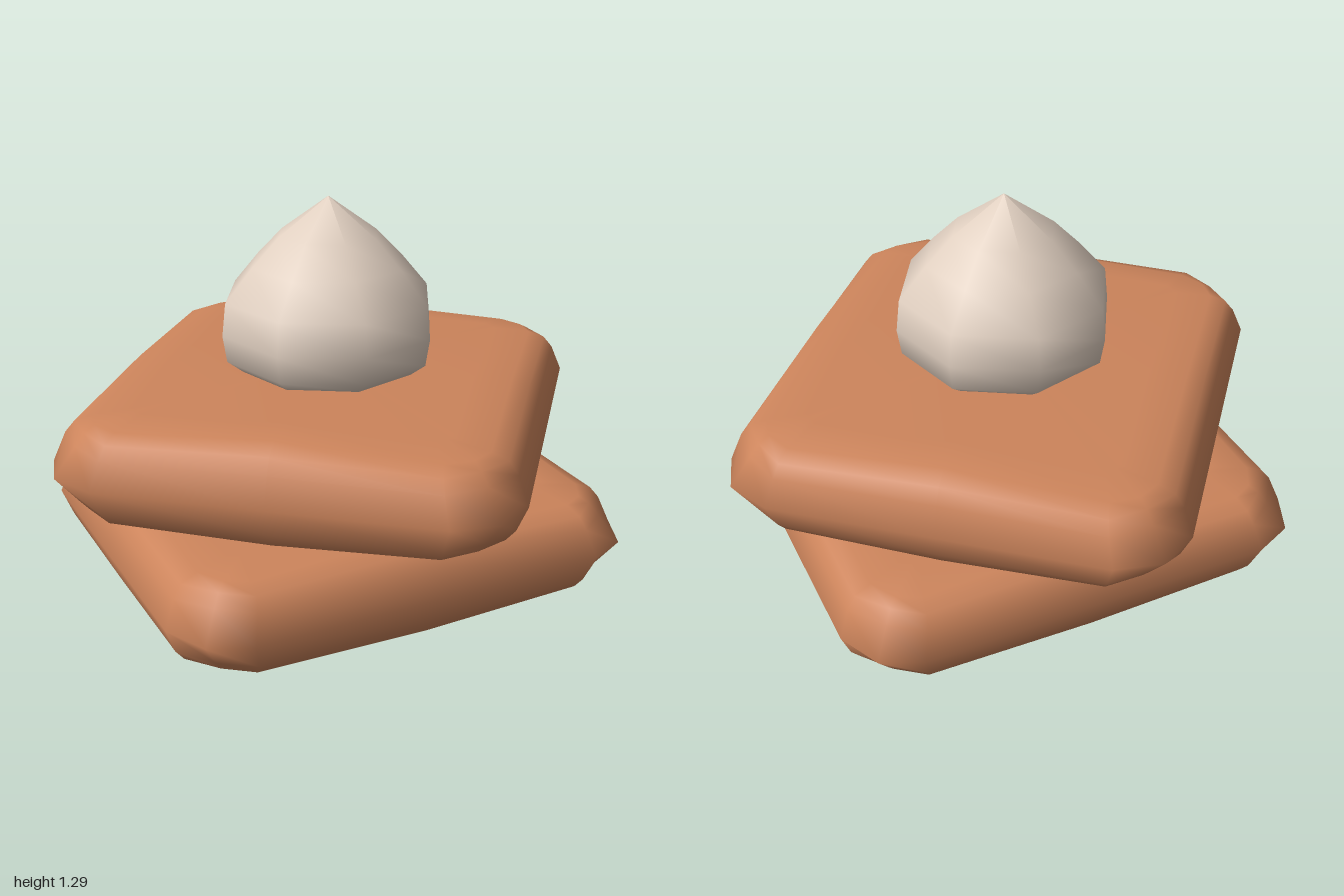
import * as THREE from 'three';

const biscuit = new THREE.MeshStandardMaterial({ color: 0xcc845b });
biscuit.name = 'biscuitBrown';
const cream = new THREE.MeshStandardMaterial({ color: 0xe0cfc0 });
cream.name = 'cream';

// Half of the slab profile: height, edge inset, corner inset, corner drop
const HALF = [
  [0, 0, 0, 0],
  [0.095, 0.035, 0.052, 0.005],
  [0.142, 0.065, 0.075, 0.014],
  [0.172, 0.12, 0.1, 0.024],
  [0.179, 0.24, 0.2, 0.014],
];

// One loop around the slab: edge middles stay high, corners sink
function slabRing([h, edge, corner, drop], sign) {
  const y = sign * h;
  const low = sign * (h - drop);
  const points = [
    [0.742 - edge, y, 0],
    [0.742 - edge, low, 0.603 - corner * 0.4],
    [0.683 - corner, low, 0.738 - corner],
    [0.54 - corner * 0.4, low, 0.806 - edge],
    [0, y, 0.806 - edge],
  ];
  const ring = [];
  for (const [sx, sz] of [[1, 1], [-1, 1], [-1, -1], [1, -1]]) {
    const quarter = sx * sz > 0 ? points : [...points].reverse();
    for (const [px, py, pz] of quarter.slice(0, 4)) ring.push([px * sx, py, pz * sz]);
  }
  return ring;
}

// Pillow-edged slab lofted from the loops and closed with flat caps
function slabGeometry() {
  const rings = [
    ...HALF.slice(1).reverse().map((p) => slabRing(p, -1)),
    ...HALF.map((p) => slabRing(p, 1)),
  ];
  const n = rings[0].length;
  const top = HALF[HALF.length - 1][0];
  const positions = rings.flat(2);
  const index = [];
  for (let i = 0; i < rings.length - 1; i++) {
    for (let k = 0; k < n; k++) {
      const a = i * n + k;
      const b = i * n + ((k + 1) % n);
      index.push(a, a + n, b + n, a, b + n, b);
    }
  }
  const bottomCentre = rings.length * n;
  positions.push(0, -top, 0, 0, top, 0);
  const last = (rings.length - 1) * n;
  for (let k = 0; k < n; k++) {
    const next = (k + 1) % n;
    index.push(bottomCentre, k, next);
    index.push(bottomCentre + 1, last + next, last + k);
  }
  const geometry = new THREE.BufferGeometry();
  geometry.setAttribute('position', new THREE.Float32BufferAttribute(positions, 3));
  geometry.setIndex(index);
  geometry.computeVertexNormals();
  return geometry;
}

export function createModel() {
  const model = new THREE.Group();
  model.name = 'stackedBiscuits';

  // Two identical slabs, twisted against each other
  const slab = slabGeometry();
  for (const [name, y, turn] of [['lowerBiscuit', 0.181, -15], ['upperBiscuit', 0.543, 35]]) {
    const mesh = new THREE.Mesh(slab, biscuit);
    mesh.name = name;
    mesh.position.y = y;
    mesh.rotation.y = THREE.MathUtils.degToRad(turn);
    model.add(mesh);
  }

  // Eight-sided cream dollop with a pointed tip
  const profile = [
    [0, 0.64], [0.2, 0.66], [0.3, 0.72], [0.352, 0.76], [0.366, 0.85],
    [0.354, 0.96], [0.262, 1.07], [0.17, 1.165], [0, 1.29],
  ].map(([r, y]) => new THREE.Vector2(r, y));
  const dollop = new THREE.Mesh(new THREE.LatheGeometry(profile, 8, Math.PI / 8), cream);
  dollop.name = 'creamDollop';
  model.add(dollop);

  return model;
}
